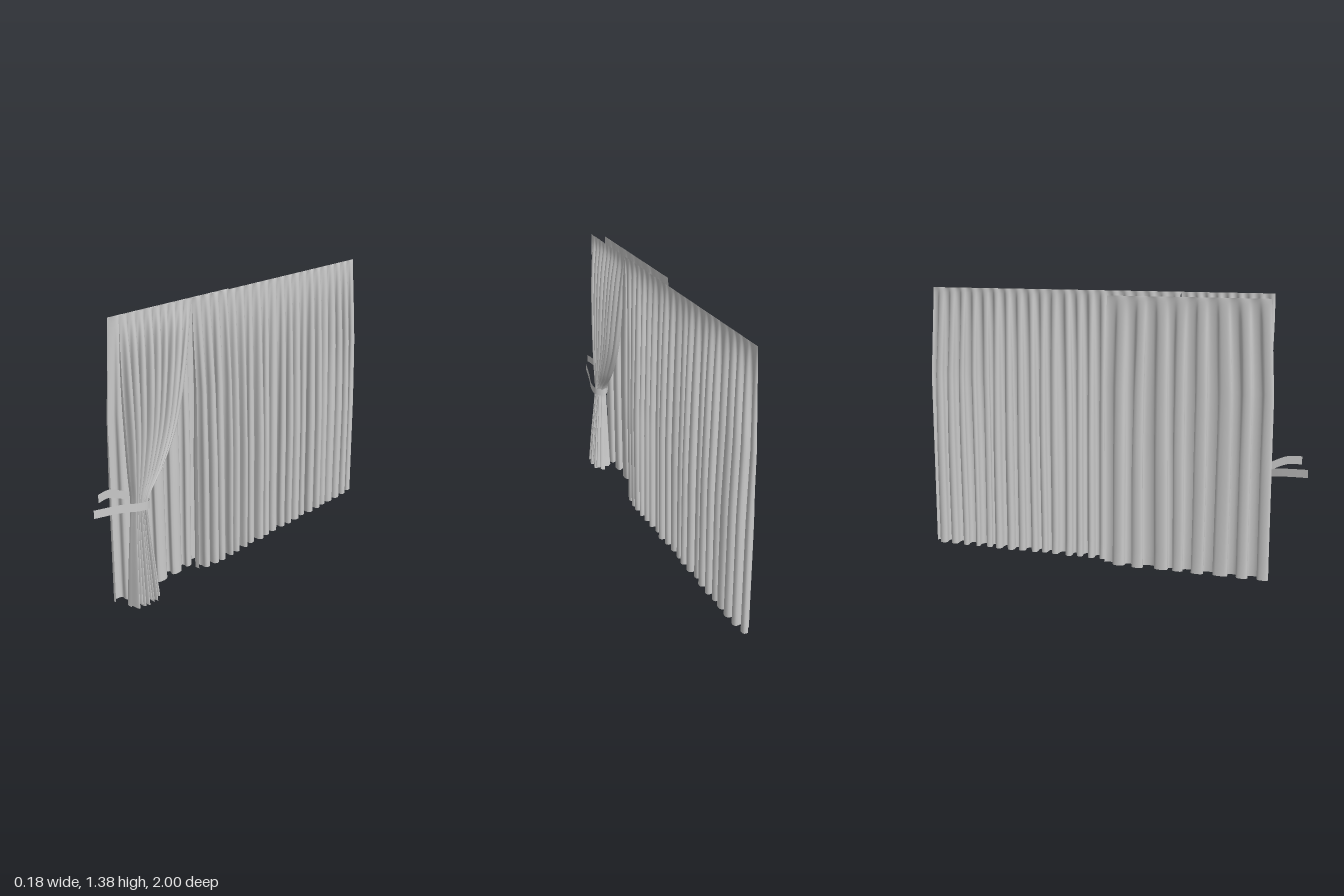
import * as THREE from 'three';

const cloth = new THREE.MeshStandardMaterial({ color: 0xcccccc, side: THREE.DoubleSide });

function seeded(seed) {
  let s = seed;
  return () => (s = (s * 16807) % 2147483647) / 2147483647;
}

// Smooth grid surface from a rule point(u, v) -> [x, y, z]
function sheet(name, nu, nv, point) {
  const geo = new THREE.PlaneGeometry(1, 1, nu, nv);
  const pos = geo.attributes.position;
  for (let j = 0; j <= nv; j++)
    for (let i = 0; i <= nu; i++)
      pos.setXYZ(j * (nu + 1) + i, ...point(i / nu, j / nv));
  geo.computeVertexNormals();
  const mesh = new THREE.Mesh(geo, cloth);
  mesh.name = name;
  return mesh;
}

// Irregular pleats: each fold gets its own depth, lean and width
function makeFolds(count, seed) {
  const rnd = seeded(seed);
  const depth = [], lean = [], shift = [];
  for (let i = 0; i <= count * 2 + 1; i++) {
    depth.push(0.65 + 0.35 * rnd());
    lean.push(0.08 + 0.1 * rnd());
    shift.push((rnd() - 0.5) * 0.35);
  }
  return (u) => {
    const p = u * count * 2, k = Math.min(Math.floor(p), count * 2 - 1), f = p - k;
    const mix = (a) => a[k] + (a[k + 1] - a[k]) * f;
    const phase = p * Math.PI;
    return {
      x: Math.sin(phase) * depth[k],
      z: (-Math.sin(2 * phase) * mix(lean) + mix(shift) * Math.sin(Math.PI * u)) / count,
    };
  };
}

// Straight hanging panel; flat at the rail and deeper towards the hem
function hangingPanel(name, { z0, z1, z0Low, z1Low, x, depth, height, count, seed }) {
  const fold = makeFolds(count, seed);
  return sheet(name, count * 16, 24, (u, v) => {
    const s = Math.pow(v, 1.6);
    const env = Math.pow(Math.min(1, s / 0.6), 0.55);
    const flare = Math.min(1, s * 3);
    const a = THREE.MathUtils.lerp(z0, z0Low, flare), b = THREE.MathUtils.lerp(z1, z1Low, flare);
    const f = fold(u);
    const sway = 0.05 * Math.sin(s * 4 + u * 9) / count;
    return [x + depth * env * f.x, 0.005 + (height - 0.005) * (1 - s), a + (b - a) * (u + f.z * env + sway * env * Math.sin(Math.PI * u))];
  });
}

// Panel gathered by the tie; rows are [y, inner z, outer z, centre x, depth]
function tiedPanel() {
  const rows = [
    [1.39, 0.36, 0.815, 0.01, 0.002],
    [1.25, 0.385, 0.815, 0.012, 0.022],
    [1.05, 0.425, 0.81, 0.013, 0.036],
    [0.82, 0.49, 0.80, 0.014, 0.04],
    [0.64, 0.59, 0.79, 0.014, 0.037],
    [0.51, 0.69, 0.78, 0.013, 0.032],
    [0.40, 0.69, 0.79, 0.016, 0.036],
    [0.20, 0.675, 0.81, 0.024, 0.05],
    [0.01, 0.66, 0.825, 0.03, 0.062],
  ];
  const edge = (k) => new THREE.CatmullRomCurve3(rows.map((r) => new THREE.Vector3(r[0], r[k], r[k + 1])));
  const edges = edge(1), body = edge(3);
  const fold = makeFolds(9, 4711);
  return sheet('tiedCurtain', 9 * 16, 48, (u, v) => {
    const e = edges.getPoint(v), b = body.getPoint(v);
    const f = fold(u);
    const round = 0.45 + 0.55 * Math.sqrt(Math.sin(Math.PI * u));
    const env = Math.min(1, v * 4);
    const hem = v > 0.97 ? 0.02 * Math.max(0, Math.sin(u * 17)) : 0;
    return [b.y + b.z * f.x * round, e.x + hem, e.y + (e.z - e.y) * (u + f.z * env)];
  });
}

// Flat band looped round the gathered cloth, both ends reaching to the wall hook
function tieBand() {
  const path = new THREE.CatmullRomCurve3([
    [0, 0.535, 1.0], [0.03, 0.525, 0.87], [0.055, 0.508, 0.77], [0.05, 0.5, 0.71],
    [0.01, 0.5, 0.685], [-0.025, 0.515, 0.72], [-0.025, 0.555, 0.80],
    [-0.01, 0.598, 0.90], [0, 0.6, 0.97],
  ].map((p) => new THREE.Vector3(...p)));
  return sheet('tieBand', 64, 2, (u, v) => {
    const p = path.getPoint(u);
    return [p.x, p.y + 0.02 - 0.04 * v, p.z];
  });
}

export function createModel() {
  const group = new THREE.Group();
  group.name = 'curtains';

  // Main row: three neighbouring panels
  const top = [-0.965, -0.53, -0.08, 0.36], low = [-0.995, -0.53, -0.08, 0.335];
  for (let i = 0; i < 3; i++)
    group.add(hangingPanel('mainCurtain' + (i + 1), {
      z0: top[i], z1: top[i + 1], z0Low: low[i], z1Low: low[i + 1],
      x: 0.01, depth: 0.038, height: 1.39, count: 7, seed: 101 + i * 977,
    }));

  // Rear curtain with broader folds
  group.add(hangingPanel('rearCurtain', {
    z0: 0.01, z1: 0.81, z0Low: -0.005, z1Low: 0.835,
    x: -0.066, depth: 0.032, height: 1.37, count: 8, seed: 2024,
  }));

  group.add(tiedPanel(), tieBand());
  return group;
}
